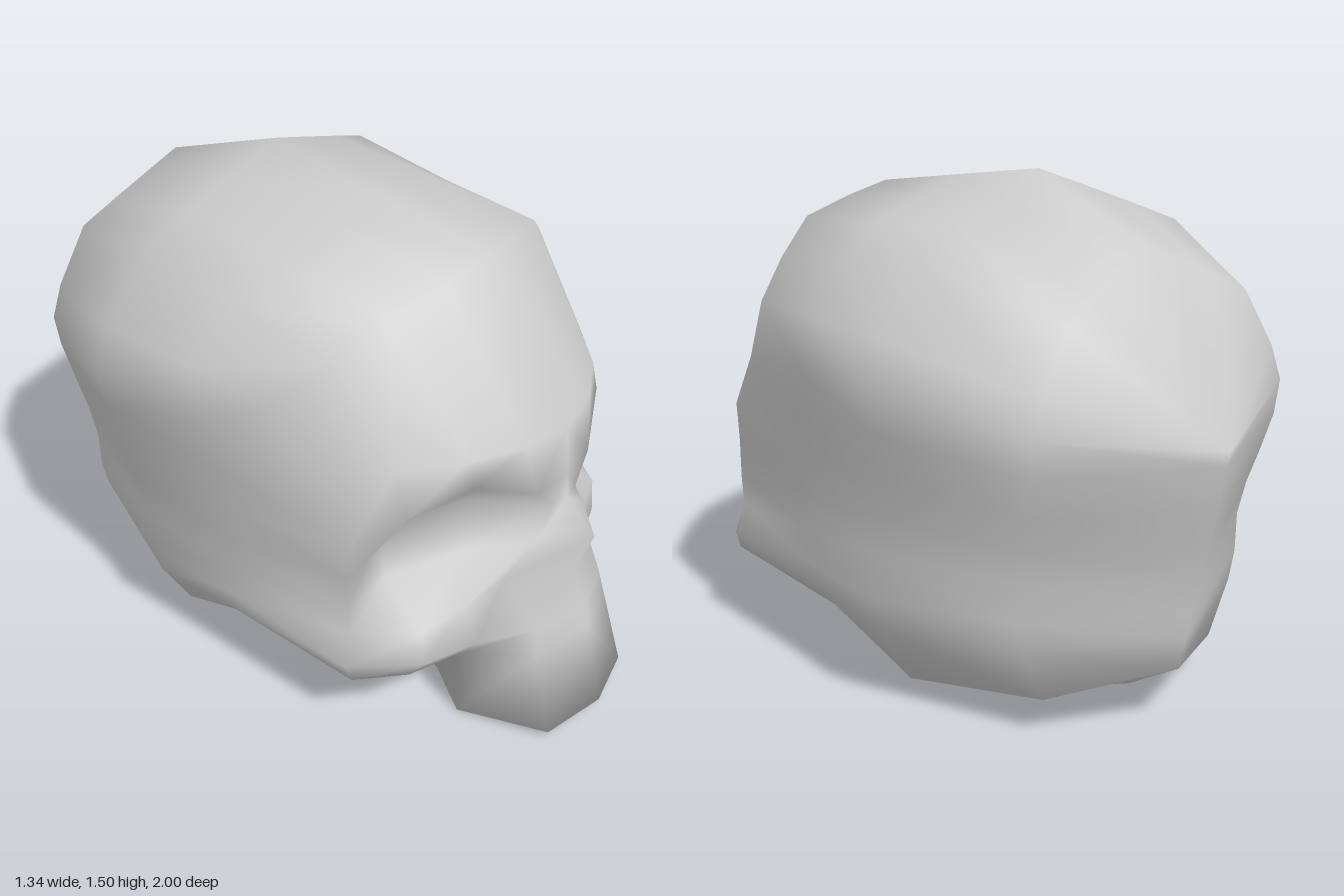
import * as THREE from 'three';
import { mergeVertices } from 'three/addons/utils/BufferGeometryUtils.js';

// Face, one half: rows from the forehead down, columns from the midline to the temple
const FACE = [
  [[0, 1.39, 0.51], [0.15, 1.36, 0.49], [0.35, 1.32, 0.43], [0.48, 1.22, 0.37], [0.615, 1.12, 0.27]], // forehead top
  [[0, 0.95, 0.8], [0.16, 0.96, 0.77], [0.31, 0.96, 0.69], [0.46, 0.94, 0.56], [0.595, 0.93, 0.38]], // forehead
  [[0, 0.8, 0.815], [0.13, 0.8, 0.8], [0.31, 0.88, 0.71], [0.45, 0.81, 0.6], [0.58, 0.75, 0.51]], // brow
  [[0, 0.72, 0.82], [0.06, 0.72, 0.81], [0.15, 0.68, 0.58], [0.4, 0.67, 0.46], [0.58, 0.63, 0.5]], // eye socket roof
  [[0, 0.63, 0.92], [0.11, 0.64, 0.81], [0.22, 0.54, 0.6], [0.42, 0.54, 0.51], [0.58, 0.51, 0.5]], // nose, socket floor
  [[0, 0.48, 0.87], [0.2, 0.52, 0.76], [0.32, 0.47, 0.71], [0.45, 0.43, 0.66], [0.575, 0.42, 0.5]], // lower rim
  [[0, 0.36, 0.92], [0.17, 0.36, 0.86], [0.28, 0.31, 0.73], [0.45, 0.32, 0.67], [0.605, 0.33, 0.51]], // cheek
  [[0, 0.3, 0.935], [0.18, 0.28, 0.88], [0.28, 0.22, 0.66], [0.45, 0.25, 0.62], [0.585, 0.27, 0.52]], // cheek lower edge
];

// Underside behind the cheek, from the outside to the midline
const ARCH = [[0.605, 0.36, 0.06], [0.585, 0.28, 0.06], [0.49, 0.18, 0.06], [0.3, 0.15, 0.08], [0.15, 0.13, 0.1], [0, 0.12, 0.1]];

// Cranium cross-section, one half, from the crown down to the base
const SECTION = [
  [0, 1.505], [0.16, 1.445], [0.33, 1.38], [0.48, 1.32], [0.62, 1.12], [0.67, 1], [0.655, 0.88], [0.635, 0.74],
  [0.62, 0.62], [0.61, 0.5], [0.61, 0.36], [0.58, 0.26], [0.47, 0.07], [0.3, 0.06], [0.15, 0.04], [0, 0.005],
];

// Cranium stations: z, width scale, top, bottom
const STATIONS = [
  [-0.24, 1, 1.505, 0.005],
  [-0.66, 0.7, 1.35, 0.07],
];

// Adds a grid of points as triangles, together with its mirror image
function addGrid(out, rows) {
  const tri = (a, b, c) => {
    const [p, q, r] = [a, b, c].map((v) => new THREE.Vector3(...v));
    if (new THREE.Triangle(p, q, r).getArea() < 1e-6) return;
    out.push(...a, ...b, ...c);
    for (const [x, y, z] of [a, c, b]) out.push(x === 0 ? 0 : -x, y, z);
  };
  for (let r = 0; r < rows.length - 1; r++) {
    for (let c = 0; c < rows[r].length - 1; c++) {
      const a = rows[r][c], b = rows[r][c + 1], d = rows[r + 1][c], e = rows[r + 1][c + 1];
      tri(a, d, e);
      tri(a, e, b);
    }
  }
}

// The upper sides trail backwards, the lower sides stay tucked in
function stationLoop([z, width, top, bottom]) {
  return SECTION.map(([x, y]) => [
    x * width,
    bottom + ((y - 0.005) / 1.5) * (top - bottom),
    z - 0.15 * x * THREE.MathUtils.smoothstep(y, 0.45, 0.95),
  ]);
}

export function createModel() {
  const out = [];

  // Face
  addGrid(out, FACE);

  // Upper jaw: a wall hanging below the face, closed by a hollow palate
  const edge = FACE[FACE.length - 1];
  const jawBack = [0.24, 0.2, 0.45];
  const throat = [0, 0.21, 0.36];
  const jawTop = [edge[0], edge[1], edge[2], jawBack, throat];
  const jawBottom = [[0, 0.04, 1], [0.2, 0.03, 0.95], [0.28, 0.01, 0.68], [0.23, 0.07, 0.57], [0, 0.12, 0.58]];
  addGrid(out, [jawTop, jawBottom, jawBottom.map(() => [0, 0.12, 0.72])]);

  // Cranium: lofted from the border of the face through the stations to the back ridge
  const border = [
    ...FACE[0],
    ...FACE.slice(1).map((row) => row[4]),
    edge[3], edge[2], jawBack, throat,
  ];
  const [widest, rear] = STATIONS.map(stationLoop);
  const middle = border.map((p, i) => (i < 10 ? p.map((v, k) => (v + widest[i][k]) / 2) : ARCH[i - 10]));
  const ridge = rear.map(([, y]) => {
    const h = THREE.MathUtils.clamp(y, 0.19, 0.86);
    return [0, h, THREE.MathUtils.mapLinear(h, 0.19, 0.86, -0.85, -1)];
  });
  const loops = [border, middle, widest, rear, ridge];
  addGrid(out, SECTION.map((_, i) => loops.map((loop) => loop[i])));

  // Weld all patches so the shading runs smoothly across them
  let geometry = new THREE.BufferGeometry();
  geometry.setAttribute('position', new THREE.Float32BufferAttribute(out, 3));
  geometry = mergeVertices(geometry, 1e-4);
  geometry.computeVertexNormals();

  const skull = new THREE.Mesh(geometry, new THREE.MeshStandardMaterial({ color: 0xcccccc }));
  skull.name = 'skull';
  const group = new THREE.Group();
  group.name = 'skullModel';
  group.add(skull);
  return group;
}
